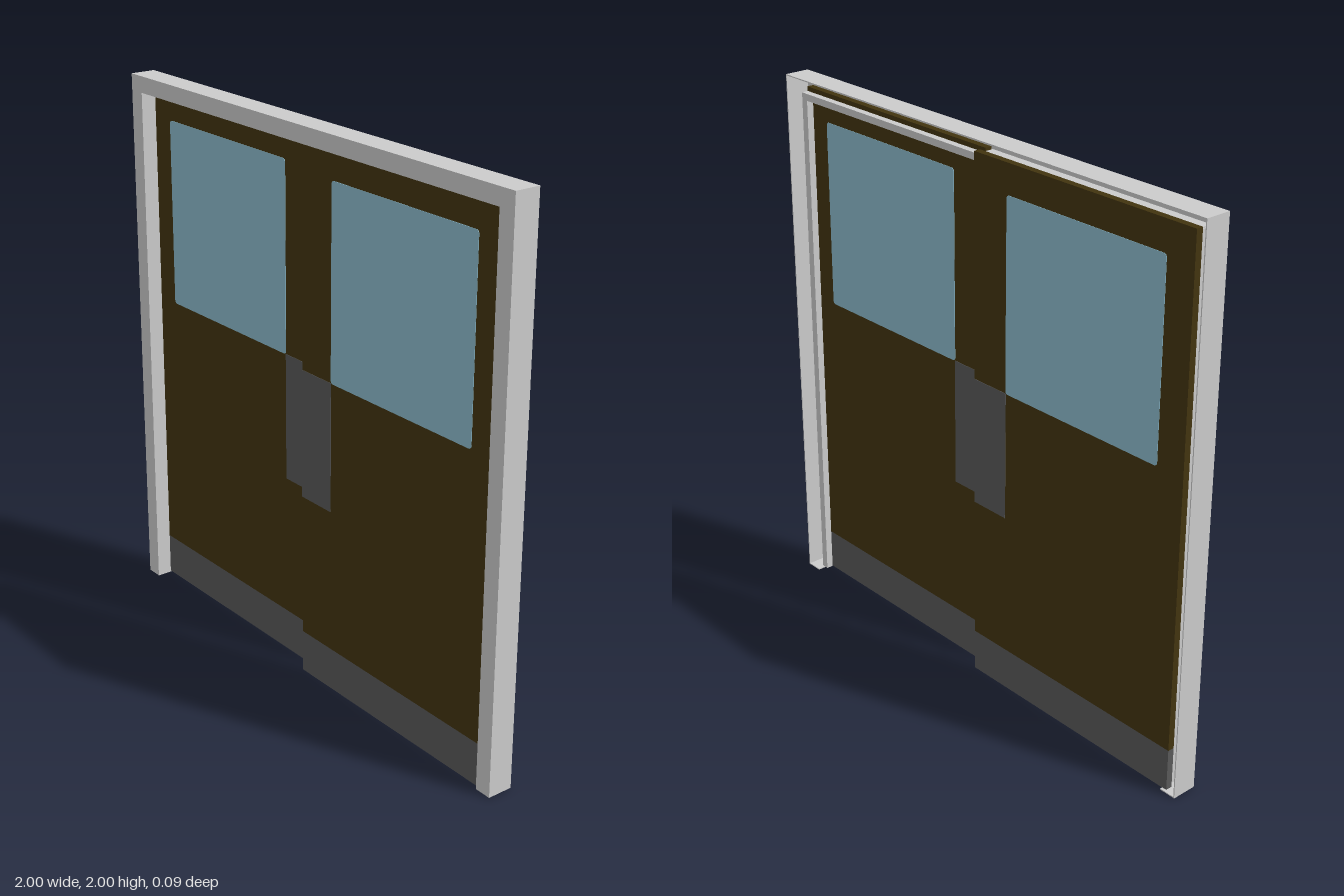
import * as THREE from 'three';

const mat = (name, color) => {
  const m = new THREE.MeshStandardMaterial({ color });
  m.name = name;
  return m;
};

export function createModel() {
  const metal = mat('light grey metal', 0xcbcbcb);
  const brown = mat('dark brown panel', 0x42340f);
  const steel = mat('dark grey plate', 0x595959);
  const glass = mat('pale blue glass', 0x8cbbcc);

  const model = new THREE.Group();
  model.name = 'slidingDoubleDoor';

  // Box given by its minimum and maximum on each axis
  const box = (parent, name, material, x0, x1, y0, y1, z0, z1) => {
    const mesh = new THREE.Mesh(new THREE.BoxGeometry(Math.abs(x1 - x0), y1 - y0, z1 - z0), material);
    mesh.position.set((x0 + x1) / 2, (y0 + y1) / 2, (z0 + z1) / 2);
    mesh.name = name;
    parent.add(mesh);
    return mesh;
  };

  // Rounded plate outline for the windows
  const roundedRect = (w, h, r) => {
    const s = new THREE.Shape();
    s.absarc(w / 2 - r, h / 2 - r, r, 0, Math.PI / 2);
    s.absarc(-w / 2 + r, h / 2 - r, r, Math.PI / 2, Math.PI);
    s.absarc(-w / 2 + r, -h / 2 + r, r, Math.PI, Math.PI * 1.5);
    s.absarc(w / 2 - r, -h / 2 + r, r, Math.PI * 1.5, Math.PI * 2);
    return s;
  };

  const D = 0.047;    // half depth of the frame
  const IN = 0.937;   // half width of the opening
  const TOP = 1.94;   // height of the opening
  const T = 0.004;    // sheet thickness

  // Frame: folded sheet channel, open at the back
  const frame = new THREE.Group();
  frame.name = 'frame';
  model.add(frame);
  for (const s of [-1, 1]) {
    const returnEnd = s > 0 ? 0.037 : -0.01;
    box(frame, 'jambOuterWall', metal, s * (1 - T), s, 0, 2, -D, D);
    box(frame, 'jambFace', metal, s * IN, s * (1 - T), 0, 2 - T, D - T, D);
    box(frame, 'jambReturn', metal, s * IN, s * (IN + T), T, TOP, returnEnd, D - T);
    box(frame, 'jambFoot', metal, s * IN, s * (1 - T), 0, T, -D, D - T);
    box(frame, 'headerReturn', metal, 0, s * IN, TOP, TOP + T, returnEnd, D - T);
  }
  box(frame, 'headerTop', metal, -1 + T, 1 - T, 2 - T, 2, -D, D);
  box(frame, 'headerFace', metal, -IN, IN, TOP, 2 - T, D - T, D);

  // Track lip behind the front door
  box(frame, 'trackSide', metal, 0.92, 0.948, T, 1.94, -0.018, 0.008);
  box(frame, 'trackTop', metal, 0, 0.948, 1.915, 1.94, -0.018, 0.008);

  // Door leaves: the left one runs in front, the right one behind
  const H = 0.0125;
  const addDoor = (name, s, z) => {
    const door = new THREE.Group();
    door.name = name;
    door.position.z = z;
    model.add(door);
    box(door, 'kickPlate', steel, 0, s * 0.955, 0.003, 0.16, -H, H);
    box(door, 'panel', brown, 0, s * 0.955, 0.16, 1.955, -H, H);
    // Push plate wraps round the meeting edge
    box(door, 'pushPlate', steel, -s * 0.001, s * 0.157, 0.69, 1.16, -H - 0.0015, H + 0.0015);
    for (const side of [-1, 1]) {
      const geo = new THREE.ExtrudeGeometry(roundedRect(0.69, 0.69, 0.012),
        { depth: 0.0015, bevelEnabled: false, curveSegments: 4 });
      const pane = new THREE.Mesh(geo, glass);
      pane.name = side > 0 ? 'windowFront' : 'windowBack';
      pane.position.set(s * 0.501, 1.504, side * H);
      if (side < 0) pane.rotation.y = Math.PI;
      door.add(pane);
    }
  };
  addDoor('leftDoor', 1, 0.0235);
  addDoor('rightDoor', -1, -0.0245);

  return model;
}
